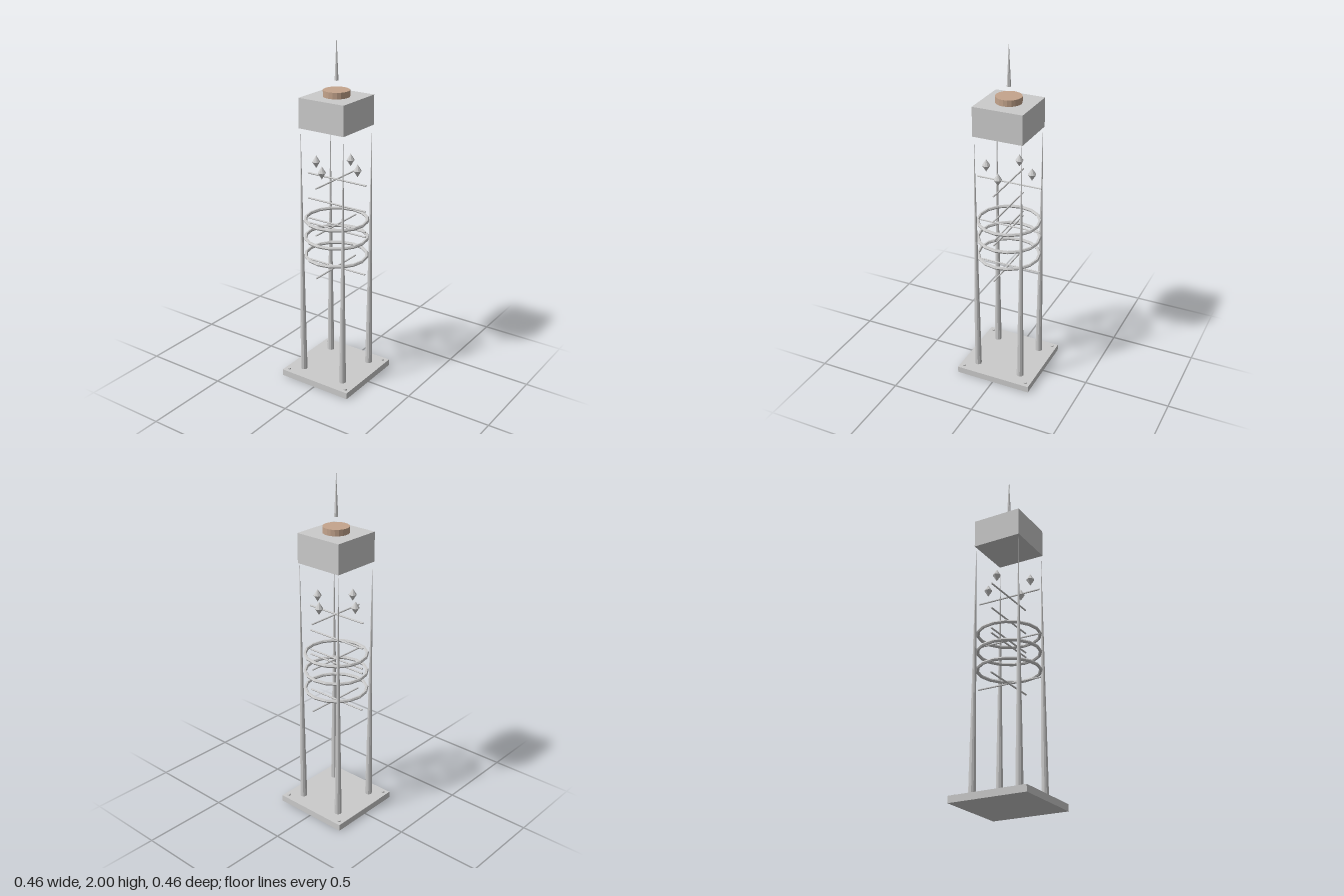
import * as THREE from 'three';

export function createModel() {
  const group = new THREE.Group();
  const grey = new THREE.MeshStandardMaterial({ color: 0xcccccc, flatShading: true });
  const tan = new THREE.MeshStandardMaterial({ color: 0xc4a48c, flatShading: true });

  const add = (name, geometry, x, y, z, material = grey) => {
    const mesh = new THREE.Mesh(geometry, material);
    mesh.name = name;
    mesh.position.set(x, y, z);
    group.add(mesh);
    return mesh;
  };

  // Base slab
  add('base', new THREE.BoxGeometry(0.456, 0.038, 0.456), 0, 0.019, 0);

  // Corner bolts and tapering legs
  const bolt = new THREE.CylinderGeometry(0.01, 0.01, 0.012, 6).rotateY(Math.PI / 6);
  const leg = new THREE.ConeGeometry(0.021, 1.472, 10);
  for (const sx of [-1, 1]) {
    for (const sz of [-1, 1]) {
      add('bolt', bolt, 0.2 * sx, 0.04, 0.2 * sz);
      add('leg', leg, 0.138 * sx, 0.774, 0.138 * sz);
    }
  }

  // Stacked rings
  const ring = new THREE.TorusGeometry(0.175, 0.0095, 6, 16).rotateX(Math.PI / 2);
  for (const y of [0.757, 0.865, 0.972]) add('ring', ring, 0, y, 0);

  // Cross bars: some levels have bars both ways, others only side to side
  const barX = new THREE.CylinderGeometry(0.005, 0.005, 0.388, 6).rotateZ(Math.PI / 2);
  const barZ = new THREE.CylinderGeometry(0.005, 0.005, 0.388, 6).rotateX(Math.PI / 2);
  for (const y of [0.68, 0.908, 0.937, 1.058, 1.208]) add('sideBar', barX, 0, y, 0);
  for (const y of [0.68, 0.937, 1.208]) add('depthBar', barZ, 0, y, 0);

  // Floating crystals, one per side
  const crystal = new THREE.LatheGeometry(
    [[0, -0.037], [0.023, 0], [0, 0.037]].map(([r, y]) => new THREE.Vector2(r, y)), 8);
  for (let i = 0; i < 4; i++) {
    const a = (i * Math.PI) / 2;
    add('crystal', crystal, 0.138 * Math.cos(a), 1.283, 0.138 * Math.sin(a));
  }

  // Head block, cap disc and floating spire
  add('head', new THREE.BoxGeometry(0.29, 0.167, 0.29), 0, 1.5915, 0);
  add('cap', new THREE.CylinderGeometry(0.073, 0.073, 0.035, 20), 0, 1.6925, 0, tan);
  add('spire', new THREE.ConeGeometry(0.0115, 0.24, 6).rotateY(Math.PI / 6), 0, 1.88, 0);

  return group;
}
